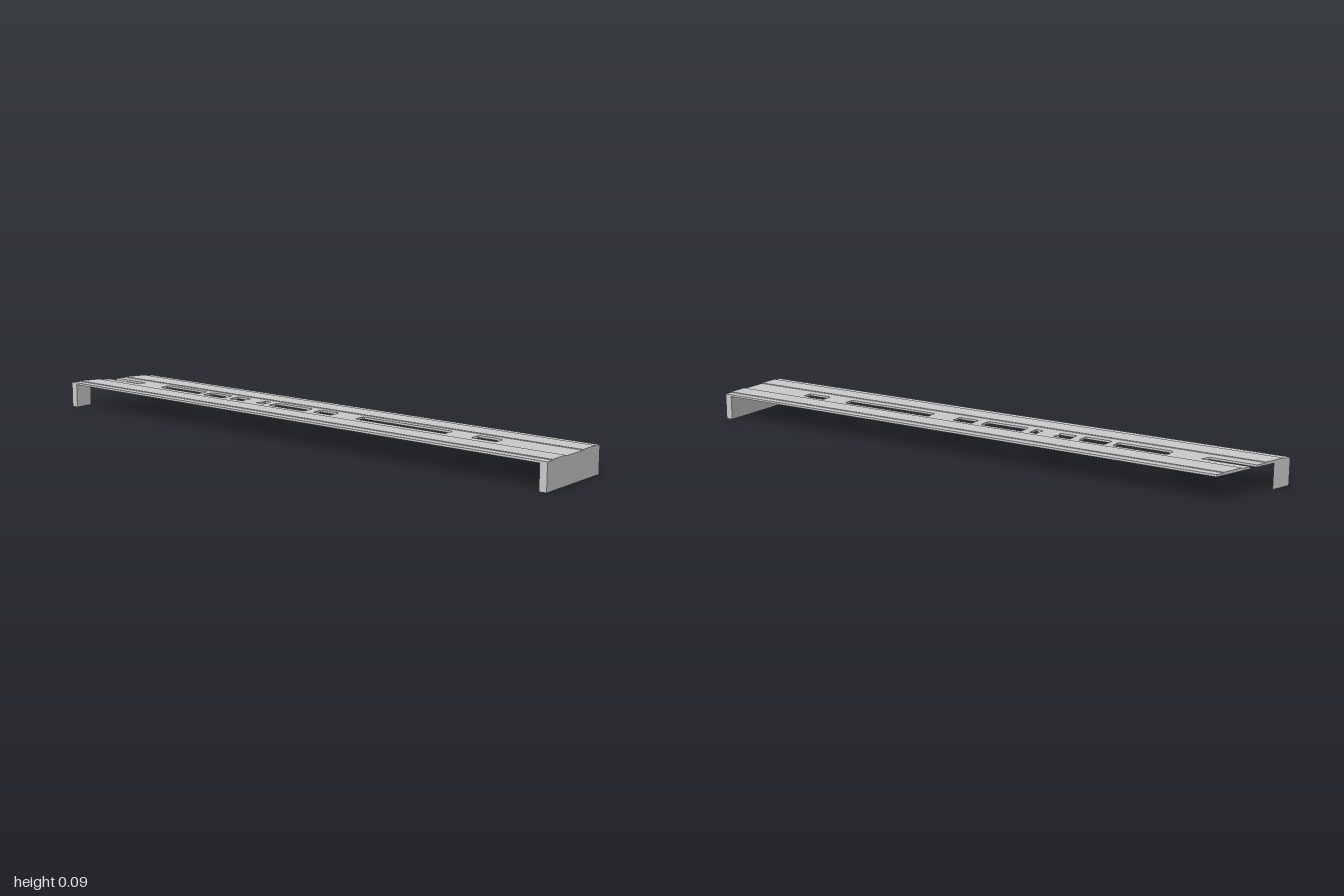
import * as THREE from 'three';

const D = 0.147; // half depth
const BASE = 0.083, DECK = 0.09, TOP = 0.0925;
const material = new THREE.MeshStandardMaterial({ color: 0xcccccc, flatShading: true });

// x of the slanted end at a given z
const slant = (z) => -1 + (D - z) * 0.374;

// Outlines are given as [x, z] seen from above
const points = (list) => list.map(([x, z]) => new THREE.Vector2(x, -z));

function slab(name, outline, y0, y1, holes = []) {
  const shape = new THREE.Shape(points(outline));
  shape.holes = holes.map((h) => new THREE.Path(points(h)));
  const geometry = new THREE.ExtrudeGeometry(shape, { depth: y1 - y0, bevelEnabled: false });
  geometry.rotateX(-Math.PI / 2);
  geometry.translate(0, y0, 0);
  const mesh = new THREE.Mesh(geometry, material);
  mesh.name = name;
  return mesh;
}

// Slot with slightly clipped corners
function slot(x0, x1, z0 = -0.027, z1 = 0.017, c = 0.005) {
  return [
    [x0 + c, z1], [x1 - c, z1], [x1, z1 - c], [x1, z0 + c],
    [x1 - c, z0], [x0 + c, z0], [x0, z0 + c], [x0, z1 - c],
  ];
}

export function createModel() {
  const group = new THREE.Group();
  group.name = 'slottedCover';

  const slots = [
    slot(-0.675, -0.485),
    slot(-0.46, -0.365, -0.027, 0.021),
    // the pair either side of the round web have curved ends
    [[-0.335, 0.018], [-0.275, 0.018], [-0.282, -0.004], [-0.275, -0.027], [-0.335, -0.027]],
    [[-0.215, 0.014], [-0.185, 0.019], [-0.185, -0.024], [-0.212, -0.027], [-0.209, -0.008]],
    slot(-0.155, 0, -0.027, 0.021),
    slot(0.035, 0.11),
    slot(0.21, 0.56),
    [[0.655, 0.015], [0.745, 0.015], [0.745, -0.02], [0.715, -0.027], [0.655, -0.027]],
  ];

  // Main plate, with an open slot cut in from the slanted end
  const outline = [
    [1, D], [1, -D], [slant(-D), -D],
    [slant(-0.015), -0.015], [-0.78, -0.015], [-0.797, 0.014], [slant(0.012), 0.012],
    [slant(D), D],
  ];
  group.add(slab('plate', outline, BASE, DECK, slots));

  // Shallow raised bands running the length of the plate
  for (const [name, z0, z1] of [['frontBand', 0.048, 0.12], ['backBand', -0.12, -0.048]]) {
    group.add(slab(name, [[1, z1], [1, z0], [slant(z0), z0], [slant(z1), z1]], DECK, TOP));
  }

  // Full-depth end flange, and the corner leg left by the slanted cut
  group.add(slab('endFlange', [[1, D], [1, -D], [0.975, -D], [0.975, D]], 0, BASE));
  group.add(slab('cornerLeg', [[-0.975, D], [-0.975, D - 0.025 / 0.374], [-1, D]], 0, BASE));

  return group;
}
